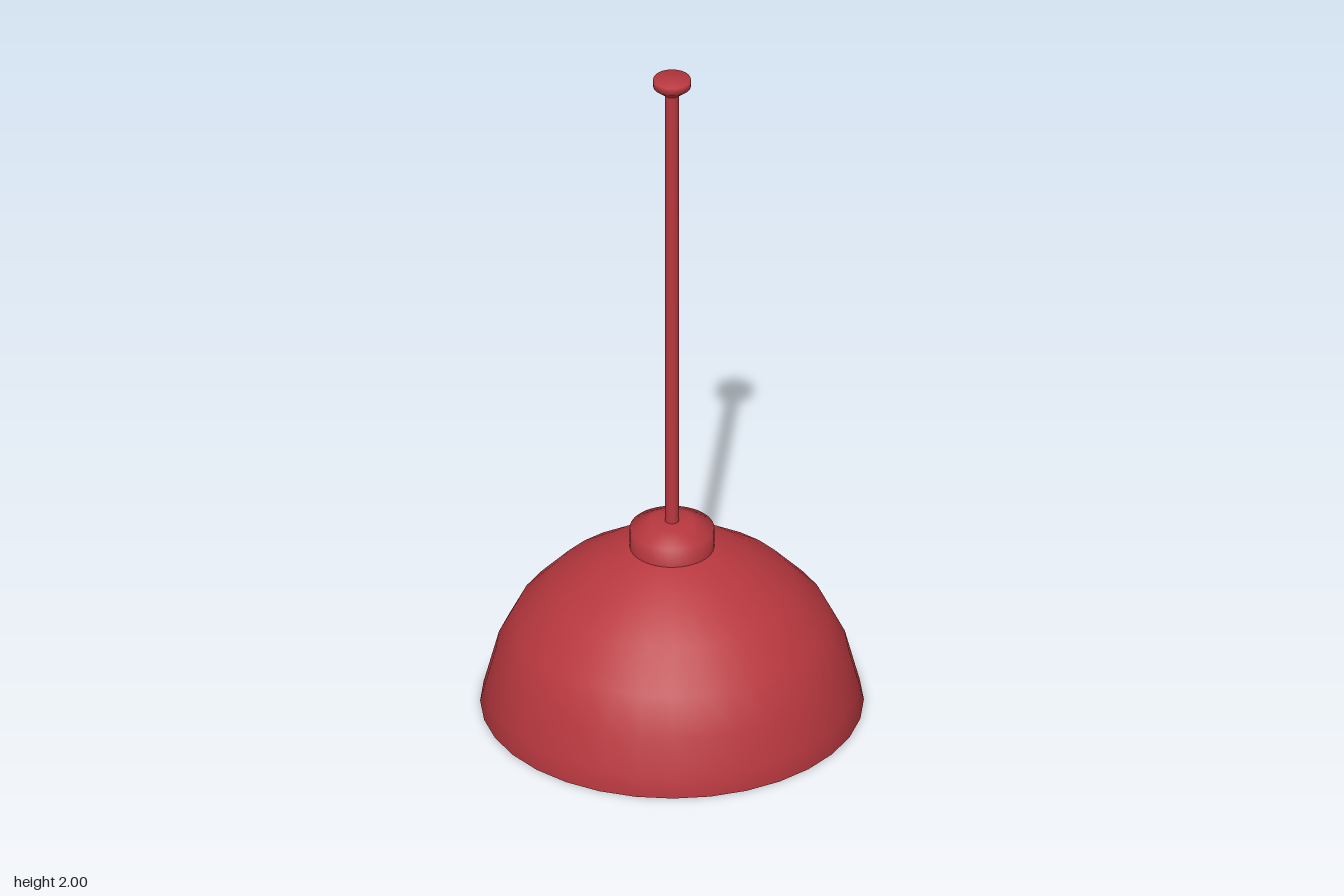
import * as THREE from 'three';

const red = new THREE.MeshStandardMaterial({ color: 0xb8383f });
const yellow = new THREE.MeshStandardMaterial({ color: 0xd8c878 });

// Revolve a list of [radius, height] points, listed so the outside runs upward
function lathe(name, profile, material = red, sides = 32) {
  const points = profile.map(([r, y]) => new THREE.Vector2(r, y));
  const mesh = new THREE.Mesh(new THREE.LatheGeometry(points, sides), material);
  mesh.name = name;
  return mesh;
}

export function createModel() {
  const lamp = new THREE.Group();
  lamp.name = 'pendantLamp';

  // Domed shade: thin shell, inside surface down to the rim, then outside up to the crown
  const outer = [[0.53, 0], [0.515, 0.057], [0.487, 0.165], [0.434, 0.27], [0.34, 0.37], [0.222, 0.45], [0.117, 0.497], [0, 0.52]];
  const inner = outer.map(([r, y]) => [Math.max(0, r - 0.012), Math.max(0, y - 0.01)]).reverse();
  lamp.add(lathe('shade', [...inner, ...outer]));

  // Collar on top of the shade
  lamp.add(lathe('collar', [[0.117, 0.485], [0.117, 0.555], [0.06, 0.578], [0, 0.578]], red, 48));

  // Hanging rod
  const rod = new THREE.Mesh(new THREE.CylinderGeometry(0.019, 0.019, 1.41, 24), red);
  rod.name = 'rod';
  rod.position.y = 1.27;
  lamp.add(rod);

  // Ceiling mount
  lamp.add(lathe('ceilingMount', [[0.019, 1.95], [0.052, 1.977], [0.052, 2], [0, 2]], red, 48));

  // Bulb and its socket inside the shade
  const bulb = new THREE.Mesh(new THREE.SphereGeometry(0.135, 32, 20), yellow);
  bulb.name = 'bulb';
  bulb.position.y = 0.325;
  const socket = new THREE.Mesh(new THREE.CylinderGeometry(0.06, 0.06, 0.08, 24), red);
  socket.name = 'socket';
  socket.position.y = 0.47;
  lamp.add(bulb, socket);

  return lamp;
}
